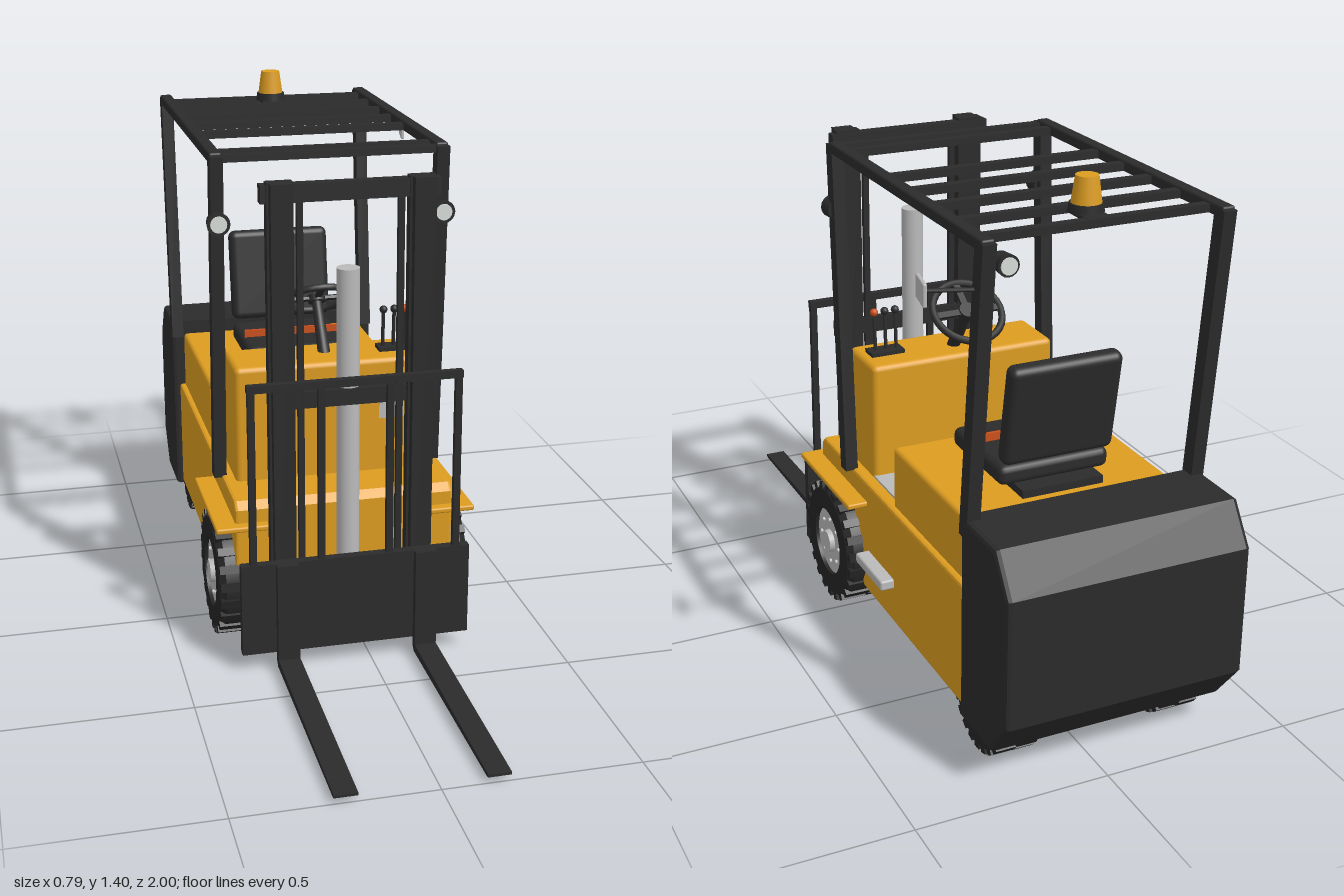
import * as THREE from 'three';
import { toCreasedNormals } from 'three/addons/utils/BufferGeometryUtils.js';
import { RoundedBoxGeometry } from 'three/addons/geometries/RoundedBoxGeometry.js';

const mat = (name, color) => Object.assign(new THREE.MeshStandardMaterial({ color }), { name });

export function createModel() {
  const yellow = mat('body yellow', 0xdc9c20);
  const dark = mat('frame black', 0x2b2b2c);
  const rubber = mat('tyre black', 0x252525);
  const silver = mat('silver', 0xbababa);
  const glass = mat('lamp glass', 0xd8dcd8);
  const orange = mat('orange', 0xc9501c);

  const model = new THREE.Group();
  model.name = 'forklift';
  const truck = new THREE.Group();
  truck.name = 'truck';
  truck.position.x = -0.043; // the side mirror shifts the overall centre
  model.add(truck);

  const add = (name, geo, m, x = 0, y = 0, z = 0, parent = truck) => {
    const mesh = new THREE.Mesh(geo, m);
    mesh.name = name;
    mesh.position.set(x, y, z);
    parent.add(mesh);
    return mesh;
  };
  // Box given by its extents on each axis
  const box = (name, m, x0, x1, y0, y1, z0, z1, r = 0) => {
    const s = [x1 - x0, y1 - y0, z1 - z0];
    const geo = r ? new RoundedBoxGeometry(...s, 2, r) : new THREE.BoxGeometry(...s);
    return add(name, geo, m, (x0 + x1) / 2, (y0 + y1) / 2, (z0 + z1) / 2);
  };
  const cyl = (r0, r1, h, n = 20) => new THREE.CylinderGeometry(r0, r1, h, n);
  // Straight bar between two points
  const bar = (name, m, a, b, geoFor) => {
    const p = new THREE.Vector3(...a), q = new THREE.Vector3(...b);
    const mesh = add(name, geoFor(p.distanceTo(q)), m);
    mesh.position.copy(p).add(q).multiplyScalar(0.5);
    mesh.quaternion.setFromUnitVectors(new THREE.Vector3(0, 1, 0), q.sub(p).normalize());
    return mesh;
  };
  // Side profile of [z, y] points, extruded across the width
  const profile = (pts, halfWidth, bevel) => {
    const shape = new THREE.Shape(pts.map(([z, y]) => new THREE.Vector2(-z, y)));
    const geo = new THREE.ExtrudeGeometry(shape, {
      depth: 2 * (halfWidth - bevel), bevelEnabled: bevel > 0,
      bevelSize: bevel, bevelThickness: bevel, bevelOffset: -bevel, bevelSegments: 2,
    });
    return geo.translate(0, 0, bevel - halfWidth).rotateY(Math.PI / 2);
  };

  // Chassis, cowl and hood
  add('chassis', profile([[0.23, 0.105], [0.23, 0.415], [0.21, 0.435], [-0.755, 0.435], [-0.755, 0.105]], 0.297, 0.008), yellow);
  box('cowl', yellow, -0.265, 0.265, 0.42, 0.755, -0.093, 0.08, 0.015);
  box('hood', yellow, -0.28, 0.28, 0.42, 0.6, -0.76, -0.257, 0.012);
  box('floorPlate', silver, -0.265, 0.265, 0.434, 0.441, -0.257, -0.09);
  box('dataPlate', silver, 0.13, 0.2, 0.585, 0.635, 0.078, 0.084);
  box('step', silver, 0.29, 0.334, 0.207, 0.235, -0.295, -0.115, 0.006);
  add('counterweight', profile([[-0.75, 0.1], [-0.75, 0.64], [-0.933, 0.64], [-1, 0.54], [-1, 0.205], [-0.917, 0.1]], 0.318, 0.012), dark);

  // Wheels: tyre, tread lugs, rim and bolts
  const wheel = (name, side, x, y, z, R, w, rimR) => {
    const g = new THREE.Group();
    g.name = name;
    g.position.set(side * x, y, z);
    g.rotation.z = -side * Math.PI / 2; // local +y points outwards
    truck.add(g);
    const r = R - 0.007;
    const pts = [[rimR, -w / 2], [r * 0.92, -w / 2], [r, -w * 0.38], [r, w * 0.38], [r * 0.92, w / 2], [rimR, w / 2], [rimR, w / 2 - 0.03]];
    const tyre = new THREE.LatheGeometry(pts.map((p) => new THREE.Vector2(...p)), 36);
    add('tyre', toCreasedNormals(tyre, 0.5), rubber, 0, 0, 0, g);
    for (let i = 0; i < 44; i++) {
      const a = (Math.floor(i / 2) + (i % 2) / 2) * Math.PI / 11;
      const lug = add('treadLug', new THREE.BoxGeometry(0.022, w * 0.5, 0.022), rubber,
        Math.sin(a) * (R - 0.012), (i % 2 ? 1 : -1) * w * 0.24, Math.cos(a) * (R - 0.012), g);
      lug.rotation.y = a;
    }
    add('rim', cyl(rimR, rimR, w - 0.02, 32), silver, 0, 0, 0, g);
    add('hub', cyl(rimR * 0.32, rimR * 0.36, 0.02), silver, 0, w / 2 - 0.006, 0, g);
    for (let i = 0; i < 8; i++) {
      const a = i * Math.PI / 4;
      add('bolt', cyl(0.006, 0.006, 0.008, 8), silver, Math.sin(a) * rimR * 0.68, w / 2 - 0.008, Math.cos(a) * rimR * 0.68, g);
    }
  };

  for (const s of [-1, 1]) {
    const [a, b] = s < 0 ? [-0.352, -0.21] : [0.21, 0.352];
    box('fender', yellow, a, b, 0.364, 0.379, -0.113, 0.258, 0.005);
    wheel('frontWheel', s, 0.27, 0.179, 0.078, 0.172, 0.146, 0.095);
    wheel('rearWheel', s, 0.225, 0.141, -0.768, 0.134, 0.11, 0.077);

    // Overhead guard posts and rails
    const post = (l) => new THREE.BoxGeometry(0.034, l, 0.04);
    bar('frontPost', dark, [s * 0.3, 0.43, 0.005], [s * 0.3, 1.325, 0.062], post);
    bar('rearPost', dark, [s * 0.3, 0.59, -0.76], [s * 0.3, 1.325, -0.832], post);
    box('guardRail', dark, s * 0.3 - 0.017, s * 0.3 + 0.017, 1.303, 1.332, -0.845, 0.065, 0.006);

    // Front work lamps
    const lamp = add('lampHousing', cyl(0.031, 0.026, 0.04, 16), dark, s * 0.3, 1.152, 0.072);
    lamp.rotation.x = Math.PI / 2;
    const lens = add('lampLens', cyl(0.022, 0.022, 0.006, 16), glass, s * 0.3, 1.152, 0.093);
    lens.rotation.x = Math.PI / 2;

    // Mast channels, lift chains and tilt brackets
    const cx = s * 0.182;
    box('mastChannel', dark, cx - 0.034, cx + 0.034, 0.075, 1.3, 0.27, 0.3);
    box('innerChannel', dark, cx - 0.028, cx + 0.028, 0.075, 1.3, 0.3, 0.325);
    box('liftChain', dark, s * 0.13 - 0.008, s * 0.13 + 0.008, 0.12, 1.25, 0.275, 0.29);
    box('mastBracket', dark, cx - 0.03, cx + 0.03, 0.13, 0.2, 0.2, 0.28);

    // Fork with upright shank and tapered blade
    add('fork', profile([[0.35, 0.31], [0.35, 0.035], [0.365, 0.02], [0.99, 0.02], [1, 0.023], [1, 0.03], [0.375, 0.043], [0.372, 0.31]], 0.029, 0),
      dark, s * 0.185);
  }

  // Guard cross bars
  for (const z of [0.055, -0.005, -0.265, -0.395, -0.525, -0.655, -0.78])
    box('guardSlat', dark, -0.3, 0.3, 1.306, 1.326, z - 0.012, z + 0.012);

  // Mast cross members and lift cylinder
  box('mastTopBeam', dark, -0.23, 0.23, 1.247, 1.293, 0.262, 0.295);
  box('mastMiddleBeam', dark, -0.2, 0.23, 0.708, 0.752, 0.27, 0.29);
  box('mastLowerBeam', dark, -0.2, 0.2, 0.085, 0.14, 0.27, 0.3);
  add('liftCylinder', cyl(0.03, 0.03, 0.965, 24), silver, 0, 0.5825, 0.258);

  // Carriage and load backrest
  box('carriagePlate', dark, -0.305, 0.308, 0.057, 0.31, 0.327, 0.352);
  box('backrestTop', dark, -0.282, 0.282, 0.78, 0.8, 0.332, 0.352);
  for (const i of [-1.5, -0.5, 0.5, 1.5])
    box('backrestBar', dark, i * 0.181 - 0.009, i * 0.181 + 0.009, 0.3, 0.79, 0.334, 0.35);

  // Seat
  box('seatMount', dark, -0.11, 0.11, 0.598, 0.62, -0.66, -0.48);
  box('seatCushion', dark, -0.15, 0.15, 0.617, 0.669, -0.617, -0.34, 0.018);
  const back = add('seatBack', new RoundedBoxGeometry(0.3, 0.268, 0.05, 3, 0.02), dark, 0, 0.812, -0.632);
  back.rotation.x = -0.16;
  box('seatBelt', orange, -0.14, 0.14, 0.665, 0.69, -0.462, -0.453);

  // Steering column and wheel
  bar('steeringColumn', dark, [0, 0.74, -0.01], [0, 0.875, -0.105], (l) => cyl(0.014, 0.018, l, 12));
  const steering = new THREE.Group();
  steering.name = 'steeringWheel';
  steering.position.set(0, 0.878, -0.108);
  steering.rotation.x = -0.61;
  truck.add(steering);
  add('wheelRim', new THREE.TorusGeometry(0.095, 0.01, 8, 32).rotateX(Math.PI / 2), dark, 0, 0, 0, steering);
  add('wheelHub', cyl(0.024, 0.024, 0.02), dark, 0, 0, 0, steering);
  for (const a of [0, Math.PI / 2, Math.PI])
    add('wheelSpoke', new THREE.BoxGeometry(0.09, 0.008, 0.018).translate(0.048, 0, 0).rotateY(-a), dark, 0, 0, 0, steering);

  // Control levers
  box('leverBase', dark, 0.145, 0.24, 0.75, 0.765, -0.025, 0.025);
  [0.16, 0.19, 0.22].forEach((x, i) => {
    bar('lever', dark, [x, 0.755, 0], [x, 0.865, 0.008], (l) => cyl(0.005, 0.005, l, 8));
    add('leverKnob', new THREE.SphereGeometry(0.011, 12, 8), i === 2 ? orange : dark, x, 0.87, 0.008);
  });

  // Beacon
  add('beaconBase', cyl(0.04, 0.042, 0.022, 24), dark, 0, 1.336, -0.725);
  add('beacon', cyl(0.027, 0.036, 0.065, 24), yellow, 0, 1.378, -0.725);
  box('beaconMount', dark, -0.03, 0.03, 1.318, 1.327, -0.79, -0.69);

  // Rear work lamp
  const rear = add('rearLampHousing', cyl(0.026, 0.022, 0.045, 16), dark, 0.255, 1.27, -0.83);
  rear.rotation.x = -Math.PI / 2;
  const rearLens = add('rearLampLens', cyl(0.02, 0.02, 0.005, 16), glass, 0.255, 1.27, -0.854);
  rearLens.rotation.x = -Math.PI / 2;
  box('rearLampBracket', dark, 0.247, 0.29, 1.28, 1.292, -0.835, -0.815);

  // Side mirror
  bar('mirrorArm', dark, [0.3, 1.212, -0.815], [0.418, 1.212, -0.772], (l) => cyl(0.005, 0.005, l, 8));
  const mirror = add('mirror', new RoundedBoxGeometry(0.01, 0.055, 0.078, 2, 0.004), silver, 0.422, 1.212, -0.768);
  mirror.rotation.y = -0.2;

  return model;
}
